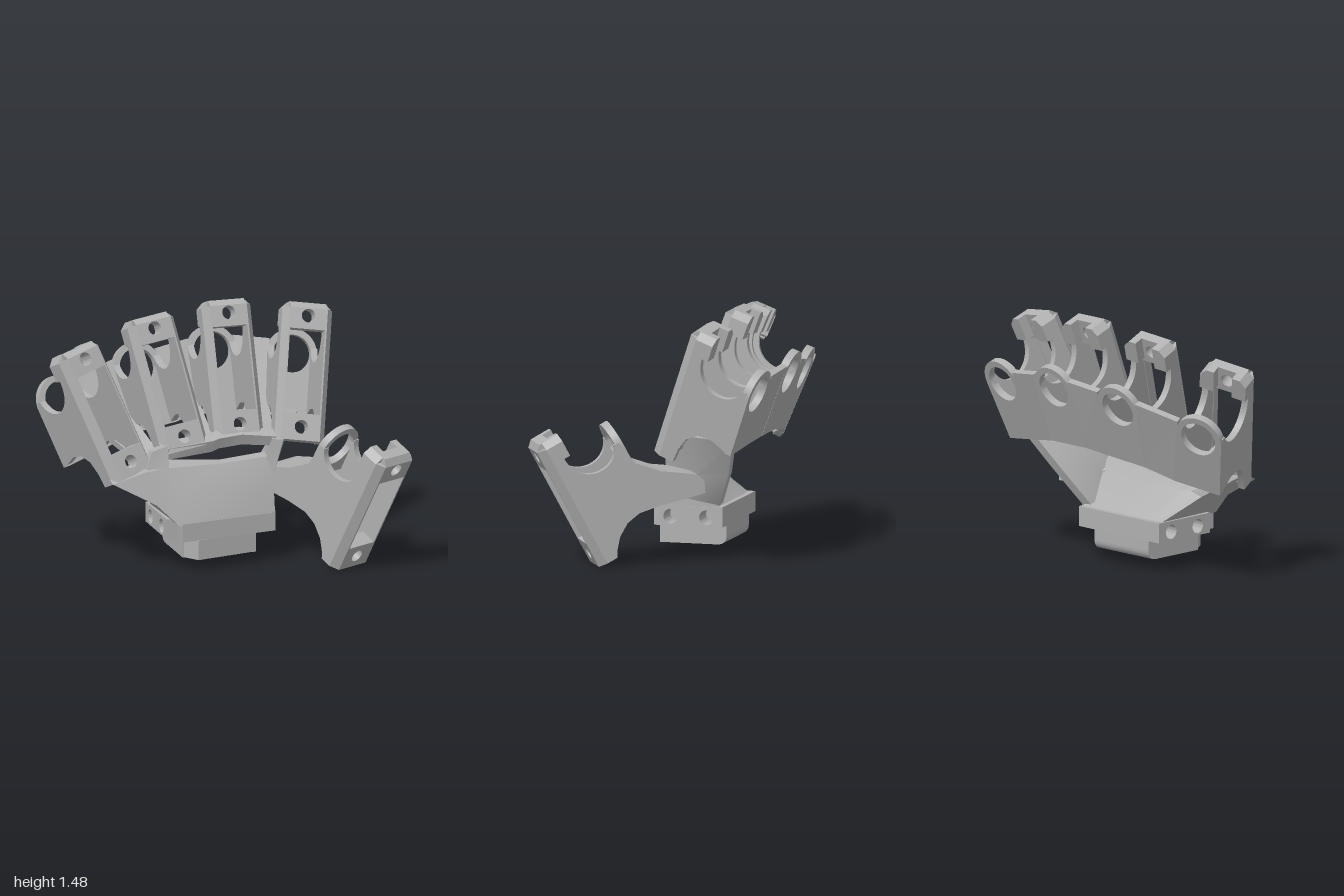
import * as THREE from 'three';
import { toCreasedNormals } from 'three/addons/utils/BufferGeometryUtils.js';

const grey = new THREE.MeshStandardMaterial({ color: 0xb0b0b0, side: THREE.DoubleSide });
grey.name = 'grey plastic';
const V = (p) => new THREE.Vector3(...p);

function part(name, geo, parent) {
  const m = new THREE.Mesh(toCreasedNormals(geo, 0.6), grey);
  m.name = name;
  parent.add(m);
  return m;
}

// closed slab between a front and a back grid (rows go up, columns go right)
function slab(front, back) {
  const R = front.length, C = front[0].length, pos = [], idx = [];
  for (const g of [front, back]) for (const row of g) for (const p of row) pos.push(...p);
  const f = (r, c) => r * C + c, b = (r, c) => R * C + r * C + c;
  const quad = (p, q, s, t) => idx.push(p, q, s, p, s, t);
  for (let r = 0; r < R - 1; r++) {
    for (let c = 0; c < C - 1; c++) {
      quad(f(r, c), f(r, c + 1), f(r + 1, c + 1), f(r + 1, c));
      quad(b(r, c + 1), b(r, c), b(r + 1, c), b(r + 1, c + 1));
    }
    quad(b(r, 0), f(r, 0), f(r + 1, 0), b(r + 1, 0));
    quad(f(r, C - 1), b(r, C - 1), b(r + 1, C - 1), f(r + 1, C - 1));
  }
  for (let c = 0; c < C - 1; c++) {
    quad(b(0, c), b(0, c + 1), f(0, c + 1), f(0, c));
    quad(f(R - 1, c), f(R - 1, c + 1), b(R - 1, c + 1), b(R - 1, c));
  }
  const g = new THREE.BufferGeometry();
  g.setAttribute('position', new THREE.Float32BufferAttribute(pos, 3));
  g.setIndex(idx);
  return g;
}
const shift = (grid, x, y, z) => grid.map((r) => r.map((p) => [p[0] + x, p[1] + y, p[2] + z]));

const poly = (pts) => new THREE.Shape(pts.map((p) => new THREE.Vector2(...p)));
const hole = (x, y, r) => new THREE.Path().absarc(x, y, r, 0, Math.PI * 2, true);
const extrude = (shape, depth) =>
  new THREE.ExtrudeGeometry(shape, { depth, bevelEnabled: false, curveSegments: 20 });
// profile given as (depth behind the face, height), extruded sideways from x0
const sideways = (shape, x0, width) => extrude(shape, width).rotateY(Math.PI / 2).translate(x0, 0, 0);
// plan given as (across, depth behind the face), extruded upward from y0
const upright = (shape, y0, height) => extrude(shape, height).rotateX(-Math.PI / 2).translate(0, y0, 0);

// side wall with the round saddle cut in its upper edge
function wallShape(lower) {
  const s = new THREE.Shape();
  s.moveTo(0.05, -0.74);
  s.lineTo(0.05, 0.04);
  s.lineTo(0.15, 0.04);
  s.lineTo(0.12, -0.05);
  s.bezierCurveTo(0.12, -0.27, 0.38, -0.29, 0.42, -0.14);
  s.lineTo(0.45, -0.14);
  lower.forEach((p) => s.lineTo(...p));
  return s;
}
const fingerLower = [[0.45, -0.55], [0.33, -0.51], [0.24, -0.52], [0.18, -0.57], [0.15, -0.65], [0.14, -0.74]];
const thumbLower = [[0.48, -0.3], [0.55, -0.4], [0.5, -0.6], [0.36, -0.575], [0.27, -0.59], [0.19, -0.64],
  [0.14, -0.7], [0.12, -0.74]];

// channel for one finger; its origin is the upper screw hole on the front face
function channel(name, { top, up, out }, lower, rearBottom, parent) {
  const g = new THREE.Group();
  g.name = name;
  const u = V(up).normalize();
  const w = u.clone().cross(V(out)).normalize();
  g.matrix.makeBasis(w, u, w.clone().cross(u)).setPosition(...top);
  g.matrix.decompose(g.position, g.quaternion, g.scale);
  g.updateMatrix();
  parent.add(g);

  // screw plates above and below the window
  const head = poly([[-0.11, -0.08], [0.11, -0.08], [0.11, 0.045], [-0.11, 0.045]]);
  head.holes.push(hole(0, 0, 0.04));
  part('headPlate', extrude(head, 0.1).translate(0, 0, -0.1), g);
  part('headCap', sideways(poly([[0, 0.045], [0.1, 0.045], [0.1, 0.08], [0.035, 0.08]]), -0.11, 0.22), g);
  const foot = poly([[-0.11, -0.74], [0.11, -0.74], [0.11, -0.58], [-0.11, -0.58]]);
  foot.holes.push(hole(0, -0.66, 0.04));
  part('footPlate', extrude(foot, 0.1).translate(0, 0, -0.1), g);

  for (const s of [-1, 1]) {
    // chamfered front rail
    const rail = poly([[0.105 * s, 0], [0.115 * s, 0], [0.15 * s, 0.05], [0.105 * s, 0.06]]);
    part('rail', upright(rail, -0.74, 0.785), g);
    part('sideWall', sideways(wallShape(lower), s > 0 ? 0.11 : -0.15, 0.04), g);
    // clipped lugs beside the nut pocket
    const lug = poly([[0.06, -0.06], [0.15, -0.06], [0.15, 0.04], [0.11, 0.08], [0.06, 0.08]].map(([x, y]) => [x * s, y]));
    part('lug', extrude(lug, 0.11).translate(0, 0, -0.16), g);
  }

  // rear plate with its round eyelet
  const eye = new THREE.Shape();
  eye.moveTo(-0.15, rearBottom);
  eye.lineTo(0.15, rearBottom);
  eye.lineTo(0.15, -0.18);
  eye.absarc(0, -0.18, 0.15, 0, Math.PI, false);
  eye.closePath();
  eye.holes.push(hole(0, -0.18, 0.112));
  part('eyelet', extrude(eye, 0.045).translate(0, 0, -0.47), g);
  return g;
}

export function createModel() {
  const model = new THREE.Group();
  model.name = 'handFrame';

  // four fingers
  const specs = [
    { name: 'littleFinger', top: [-0.8, 1.255, -0.12], up: [-0.33, 0.89, -0.3], out: [0.27, 0.34, 0.9] },
    { name: 'ringFinger', top: [-0.33, 1.37, -0.26], up: [-0.17, 0.92, -0.35], out: [0.09, 0.32, 0.94] },
    { name: 'middleFinger', top: [0.14, 1.415, -0.31], up: [0, 0.94, -0.35], out: [0, 0.35, 0.94] },
    { name: 'indexFinger', top: [0.615, 1.37, -0.26], up: [0.17, 0.92, -0.34], out: [-0.08, 0.32, 0.94] },
  ];
  const fingers = specs.map((s) => channel(s.name, s, fingerLower, -0.55, model));

  // webs and rear band between neighbouring fingers
  for (let i = 0; i < 3; i++) {
    const grid = (rows) => rows.map(([d, u]) => [
      new THREE.Vector3(0.14, u, -d).applyMatrix4(fingers[i].matrix).toArray(),
      new THREE.Vector3(-0.14, u, -d).applyMatrix4(fingers[i + 1].matrix).toArray(),
    ]);
    part('web', slab(
      grid([[0.04, -0.75], [0.2, -0.62], [0.37, -0.45], [0.43, -0.1]]),
      grid([[0.09, -0.77], [0.23, -0.65], [0.41, -0.47], [0.46, -0.1]])), model);
    part('rearBand', slab(grid([[0.43, -0.55], [0.43, -0.1]]), grid([[0.47, -0.55], [0.47, -0.1]])), model);
  }

  // thumb with the solid arm that joins it to the palm
  const thumb = channel('thumb',
    { top: [0.875, 0.645, 0.65], up: [0.24, 0.88, 0.41], out: [0.44, -0.47, 0.757] }, thumbLower, -0.36, model);
  const arm = poly([[0.43, -0.3], [0.48, -0.3], [0.59, -0.42], [0.69, -0.49], [0.77, -0.55], [0.79, -0.6],
    [0.76, -0.67], [0.64, -0.64], [0.5, -0.6], [0.43, -0.58], [0.46, -0.42]]);
  part('thumbArm', sideways(arm, -0.15, 0.3), thumb);

  // palm wedge from the wrist to the finger bases
  const palmFront = [
    [[-0.32, 0.28, 0.2], [-0.3, 0.28, 0.2], [-0.25, 0.28, 0.19], [0, 0.28, 0.15], [0.3, 0.28, 0.1]],
    [[-0.45, 0.41, 0.17], [-0.38, 0.44, 0.15], [-0.3, 0.45, 0.13], [0, 0.45, 0.1], [0.3, 0.45, 0.06]],
    [[-0.71, 0.55, 0.14], [-0.5, 0.6, 0.11], [-0.36, 0.6, 0.06], [0, 0.595, 0.03], [0.28, 0.61, 0.01]],
  ];
  const palmBack = [
    [[-0.34, 0.28, -0.31], [-0.3, 0.28, -0.31], [-0.25, 0.28, -0.31], [0, 0.28, -0.31], [0.29, 0.28, -0.31]],
    [[-0.45, 0.43, -0.05], [-0.38, 0.46, -0.07], [-0.3, 0.46, -0.1], [0, 0.46, -0.12], [0.3, 0.46, -0.15]],
    [[-0.73, 0.6, 0.04], [-0.5, 0.64, 0.02], [-0.36, 0.63, -0.03], [0, 0.6, -0.04], [0.28, 0.62, -0.06]],
  ];
  part('palm', slab(palmFront, palmBack), model);

  // bar over the palm slot, and a bridge at its left end
  const bar = [[[-0.37, 0.63, 0], [-0.05, 0.65, -0.04], [0, 0.665, -0.05], [0.14, 0.675, -0.06], [0.34, 0.66, -0.03]],
    [[-0.37, 0.7, 0.01], [-0.05, 0.72, -0.02], [0, 0.73, -0.03], [0.14, 0.74, -0.04], [0.34, 0.72, -0.01]]];
  part('slotBar', slab(bar, shift(bar, 0, 0.03, -0.07)), model);
  const bridge = [[[-0.5, 0.58, 0.1], [-0.34, 0.6, 0.06]], [[-0.44, 0.7, 0.04], [-0.33, 0.72, 0]]];
  part('slotBridge', slab(bridge, shift(bridge, 0, 0, -0.06)), model);

  // side strut from the wrist to the index finger
  const strut = [
    [[0.3, 0.3, 0.09], [0.32, 0.35, -0.1], [0.29, 0.31, -0.3]],
    [[0.31, 0.5, 0.03], [0.37, 0.5, -0.18], [0.44, 0.52, -0.4]],
    [[0.38, 0.7, 0], [0.48, 0.74, -0.2], [0.62, 0.74, -0.48]],
  ];
  part('indexStrut', slab(strut, shift(strut, -0.07, 0.01, 0)), model);

  // wrist block with blind cross holes, slanted front and lower plug
  const block = poly([[-0.1, 0.18], [0.32, 0.18], [0.32, 0.3], [-0.1, 0.3]]);
  block.holes.push(hole(0, 0.235, 0.043), hole(0.22, 0.235, 0.043));
  part('wristBlock', sideways(block, -0.37, 0.67), model);
  part('wristCore', new THREE.BoxGeometry(0.4, 0.1, 0.4).translate(-0.04, 0.24, -0.11), model);
  part('wristFront', upright(poly([[-0.3, -0.2], [0.3, -0.1], [-0.3, -0.09]]), 0.18, 0.11), model);
  const plug = new THREE.Shape();
  plug.moveTo(-0.1, 0.2);
  plug.lineTo(-0.1, 0.06);
  plug.lineTo(0.25, 0.06);
  plug.quadraticCurveTo(0.31, 0.06, 0.31, 0.12);
  plug.lineTo(0.31, 0.2);
  part('wristPlug', sideways(plug, -0.27, 0.45), model);
  part('plugFront', upright(poly([[-0.27, -0.09], [-0.2, -0.19], [0.18, -0.1], [0.18, -0.09]]), 0.062, 0.12), model);
  return model;
}
